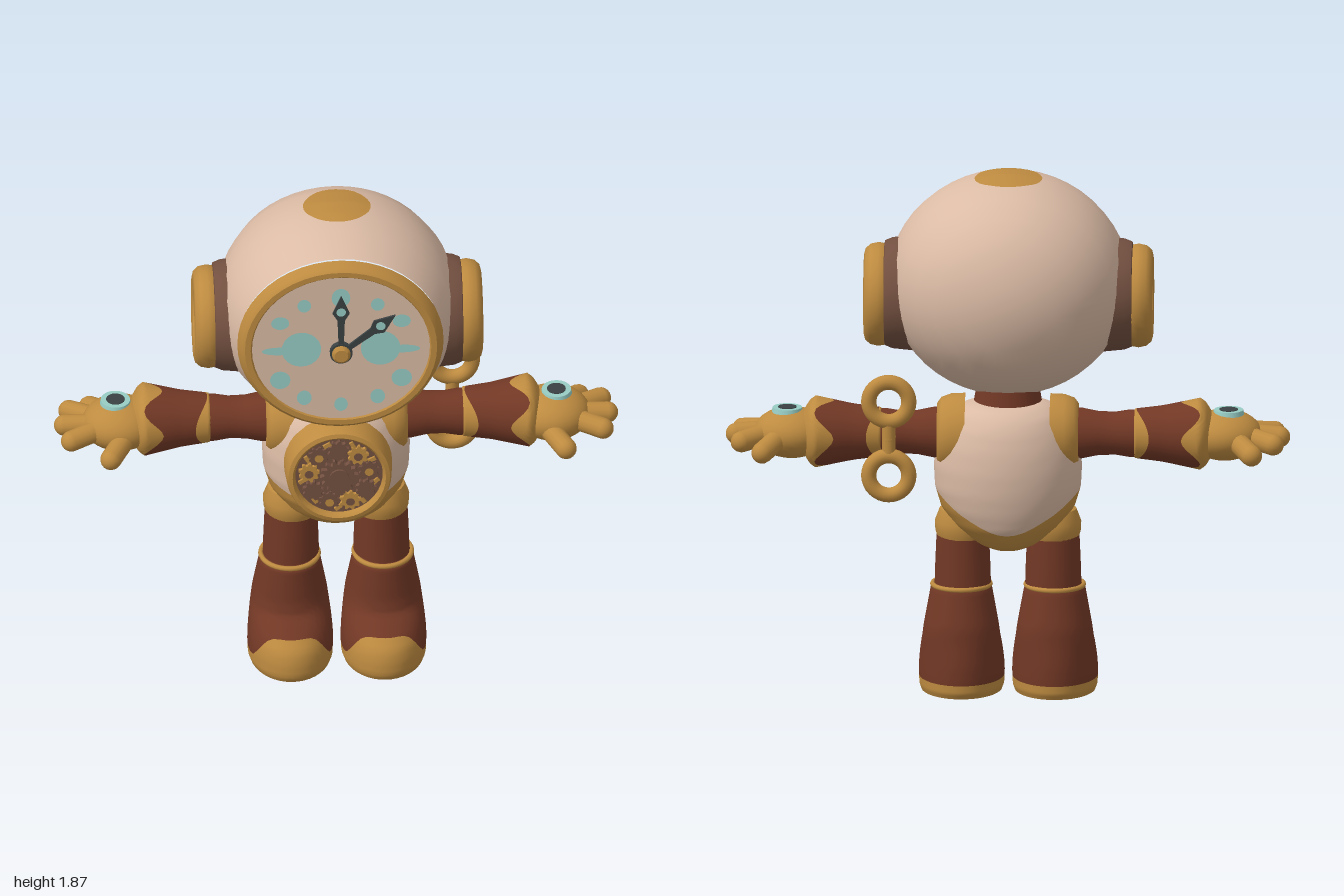
import * as THREE from 'three';
import { toCreasedNormals } from 'three/addons/utils/BufferGeometryUtils.js';

const paint = (name, color) => { const m = new THREE.MeshStandardMaterial({ color }); m.name = name; return m; };
const cream = paint('cream', 0xdbbba5), gold = paint('gold', 0xbe8b40), leather = paint('leather', 0x723825),
  brown = paint('brown', 0x735040), dark = paint('dark', 0x3a4142), cyan = paint('cyan', 0x97ccc4);

function add(parent, name, geo, mat, x = 0, y = 0, z = 0) {
  const m = new THREE.Mesh(geo, mat);
  m.name = name;
  m.position.set(x, y, z);
  parent.add(m);
  return m;
}

// Turned part from [radius, height] pairs; axis may be y, x or z
function turned(pairs, axis = 'y', seg = 40) {
  const g = new THREE.LatheGeometry(pairs.map(p => new THREE.Vector2(p[0], p[1])), seg);
  if (axis === 'x') g.rotateZ(-Math.PI / 2);
  if (axis === 'z') g.rotateX(Math.PI / 2);
  return toCreasedNormals(g, 0.65);
}

// Closed-in-u grid surface from a rule
function grid(nu, nv, rule) {
  const pos = [], idx = [];
  for (let j = 0; j <= nv; j++) for (let i = 0; i < nu; i++) pos.push(...rule(i / nu * Math.PI * 2, j / nv));
  for (let j = 0; j < nv; j++) for (let i = 0; i < nu; i++) {
    const a = j * nu + i, b = j * nu + (i + 1) % nu;
    idx.push(a, a + nu, b, b, a + nu, b + nu);
  }
  const g = new THREE.BufferGeometry();
  g.setAttribute('position', new THREE.Float32BufferAttribute(pos, 3));
  g.setIndex(idx);
  g.computeVertexNormals();
  return g;
}

// Interpolate rows of [h, ...values]
function sample(rows, h) {
  let k = 0;
  while (k < rows.length - 2 && h > rows[k + 1][0]) k++;
  const a = rows[k], b = rows[k + 1], t = THREE.MathUtils.clamp((h - a[0]) / (b[0] - a[0]), 0, 1);
  return a.map((v, i) => v + (b[i] - v) * t);
}

// Shell through rows [h, rx, rz, cz] between two wavy edges, so one form can change colour
const shell = (rows, from, to, nv = 16) => grid(40, nv, (u, v) => {
  const e = 0.5 * v + 0.25 * (1 - Math.cos(v * Math.PI));
  const [h, rx, rz, cz] = sample(rows, from(u) + (to(u) - from(u)) * e);
  return [rx * Math.cos(u), h, cz + rz * Math.sin(u)];
});

function capsule(parent, name, a, b, r, mat) {
  const A = new THREE.Vector3(...a), B = new THREE.Vector3(...b), d = B.clone().sub(A);
  const m = add(parent, name, new THREE.CapsuleGeometry(r, d.length(), 6, 14), mat);
  m.position.copy(A).add(B).multiplyScalar(0.5);
  m.quaternion.setFromUnitVectors(new THREE.Vector3(0, 1, 0), d.normalize());
  return m;
}

// Mirror a group across x with the faces turned the right way
function mirrored(src, name) {
  const out = new THREE.Group();
  out.name = name;
  src.updateMatrixWorld(true);
  src.traverse(o => {
    if (!o.isMesh) return;
    const g = o.geometry.index ? o.geometry.toNonIndexed() : o.geometry.clone();
    g.applyMatrix4(o.matrixWorld);
    for (const key of ['position', 'normal']) {
      const t = g.attributes[key];
      for (let i = 0; i < t.count; i += 3) {
        const p = [0, 2, 1].map(k => [-t.getX(i + k), t.getY(i + k), t.getZ(i + k)]);
        p.forEach((q, k) => t.setXYZ(i + k, ...q));
      }
    }
    add(out, o.name, g, o.material);
  });
  return out;
}

function gear(r, teeth, depth) {
  const s = new THREE.Shape();
  for (let i = 0; i < teeth * 4; i++) {
    const a = i / (teeth * 4) * Math.PI * 2, q = i % 4 < 2 ? r : r * 0.78;
    s[i ? 'lineTo' : 'moveTo'](q * Math.cos(a), q * Math.sin(a));
  }
  return new THREE.ExtrudeGeometry(s, { depth, bevelEnabled: false });
}

function makeHead() {
  const g = new THREE.Group(), Y = 1.465, SX = 1.08;
  g.name = 'head';
  const skull = [[0, -.375], [.08, -.368], [.16, -.345], [.24, -.3], [.3, -.24], [.35, -.165], [.38, -.08],
    [.395, .02], [.395, .1], [.38, .19], [.355, .26], [.335, .305]];
  add(g, 'skull', turned(skull, 'z', 48), cream, 0, Y).scale.x = SX;
  add(g, 'faceRim', turned([[.33, .3], [.338, .306], [.326, .342], [.315, .352], [.296, .352], [.29, .344]], 'z', 48), gold, 0, Y - .008).scale.x = SX;
  add(g, 'clockFace', new THREE.CircleGeometry(.298, 48), cream, 0, Y - .008, .346).scale.x = SX;
  const byZ = skull.map(p => [p[1], p[0]]);
  add(g, 'crownCap', grid(32, 6, (u, v) => {
    const x = .12 * v * Math.cos(-u), z = .025 + .12 * v * Math.sin(-u), r = sample(byZ, z)[1];
    return [x, Y + .005 + Math.sqrt(r * r - (x / SX) ** 2), z];
  }), gold);

  // Dial markings: [x, y from centre, rx, ry]
  const spots = [[0, .215, .033, .038], [0, -.225, .024, .028], [.13, .185, .024, .026], [.13, -.195, .026, .03],
    [.215, .115, .032, .026], [.215, -.12, .036, .036], [.14, .005, .07, .07], [.22, 0, .06, .016]];
  for (const [x, y, rx, ry] of spots) for (const s of x ? [1, -1] : [1])
    add(g, 'dialMark', new THREE.CircleGeometry(1, 24), cyan, s * x, 1.45 + y, x === .22 ? .3482 : .3478).scale.set(rx, ry, 1);

  // Clock hands
  for (const [len, angle] of [[.235, 0], [.245, -.9]]) {
    const hand = new THREE.Group();
    hand.name = 'clockHand';
    const s = new THREE.Shape();
    [[-.008, 0], [.008, 0], [.013, len * .58], [.03, len * .7], [0, len], [-.03, len * .7], [-.013, len * .58]]
      .forEach((p, i) => s[i ? 'lineTo' : 'moveTo'](...p));
    add(hand, 'pointer', new THREE.ExtrudeGeometry(s, { depth: .009, bevelEnabled: false }), dark);
    add(hand, 'pointerJewel', new THREE.CircleGeometry(.017, 16), cyan, 0, len * .73, .0105);
    hand.position.set(0, 1.445, .356);
    hand.rotation.z = angle;
    g.add(hand);
  }
  add(g, 'hubBase', turned([[.04, .344], [.04, .367], [0, .367]], 'z', 20), dark, 0, 1.445);
  add(g, 'hub', turned([[.033, .36], [.033, .376], [.024, .384], [0, .384]], 'z', 20), gold, 0, 1.445);
  return g;
}

function makeTorso() {
  const g = new THREE.Group();
  g.name = 'torso';
  const rows = [[.522, 0, 0, -.07], [.53, .06, .06, -.068], [.55, .105, .11, -.06], [.58, .15, .15, -.05], [.62, .195, .187, -.045],
    [.68, .237, .212, -.04], [.75, .258, .224, -.04], [.83, .262, .227, -.04], [.91, .252, .218, -.04], [.98, .228, .195, -.042],
    [1.03, .195, .16, -.045], [1.06, .13, .11, -.05], [1.07, .0, .0, -.05]];
  const edge = u => { const s = Math.sin(u); return s > 0 ? .745 - .06 * s * s : .745 - .14 * s * s; };
  add(g, 'lowerBody', shell(rows, () => .522, edge), gold);
  add(g, 'upperBody', shell(rows, edge, () => 1.07, 20), cream);
  add(g, 'neck', new THREE.CylinderGeometry(.11, .125, .09, 32), leather, 0, 1.075, -.04);

  // Round window with clockwork
  const works = new THREE.Group();
  works.name = 'clockwork';
  works.position.y = .84;
  add(works, 'windowRim', turned([[.195, .06], [.186, .2], [.18, .218], [.165, .222], [.156, .212], [.154, .19]], 'z', 40), gold);
  add(works, 'backPlate', new THREE.CircleGeometry(.16, 36), brown, 0, 0, .196);
  add(works, 'mainGear', gear(.068, 14, .022), brown, 0, 0, .196);
  add(works, 'mainHub', turned([[.035, .19], [.035, .227], [0, .227]], 'z', 16), brown);
  for (let i = 0; i < 9; i++) {
    const a = i / 9 * Math.PI * 2 + .2, x = Math.cos(a), y = Math.sin(a);
    add(works, 'smallGear', gear(.038, 9, .01 + .004 * (i % 3)), i % 3 === 1 ? gold : brown, x * .108, y * .108, .197);
    add(works, 'gearPin', new THREE.CircleGeometry(.016, 10), i % 3 ? brown : gold, x * .108, y * .108, .22);
    add(works, 'brassChip', new THREE.BoxGeometry(.028, .014, .009), gold, Math.cos(a + .3) * .132, Math.sin(a + .3) * .132, .202).rotation.z = a * 2.3;
  }
  g.add(works);
  return g;
}

function makeSide() {
  const g = new THREE.Group();
  g.name = 'leftSide';
  // Ear
  add(g, 'earBase', turned([[.205, .33], [.197, .41], [.186, .437], [.15, .445]], 'x'), brown, 0, 1.425, .05);
  add(g, 'earCushion', turned([[.165, .42], [.18, .437], [.184, .46], [.178, .488], [.162, .506], [.143, .511], [.126, .505], [.12, .49]], 'x'), gold, 0, 1.42, .05);
  add(g, 'earLens', turned([[.125, .492], [0, .492]], 'x'), dark, 0, 1.42, .05);
  add(g, 'earRing', new THREE.RingGeometry(.043, .067, 32).rotateY(Math.PI / 2), cyan, .496, 1.42, .05);

  // Arm
  const arm = new THREE.Group();
  arm.name = 'arm';
  arm.position.set(0, .942, -.045);
  add(arm, 'shoulderRing', turned([[.14, .15], [.138, .2], [.125, .235], [.105, .25], [.08, .25]], 'x'), gold);
  add(arm, 'upperArm', turned([[.088, .2], [.09, .26], [.078, .32], [.076, .38], [.084, .43], [.084, .47]], 'x', 28), leather);
  const cuff = [[.44, .07, .07, 0], [.45, .088, .088, 0], [.55, .1, .105, 0], [.68, .127, .14, 0], [.7, .112, .125, 0], [.72, .08, .09, 0]];
  const elbow = u => .455 + .045 * Math.sin(u) ** 2, wrist = u => .648 - .034 * Math.cos(4 * u);
  const piece = (name, a, b, mat) => add(arm, name, shell(cuff, a, b, 12).rotateZ(-Math.PI / 2), mat);
  piece('elbowBand', () => .44, elbow, gold);
  piece('forearm', elbow, wrist, leather);
  piece('gloveCuff', wrist, () => .72, gold);
  g.add(arm);

  // Hand
  add(g, 'palm', new THREE.SphereGeometry(1, 28, 18), gold, .765, .937, -.035).scale.set(.135, .09, .13);
  const fingers = [[.80, -.10, .865, -.205, .9], [.85, -.07, .94, -.14, .925], [.86, -.025, .96, -.035, .93], [.85, .02, .94, .065, .925]];
  for (const [x, z, x2, z2, y2] of fingers) capsule(g, 'finger', [x, .937, z], [x2, y2, z2], .038, gold);
  capsule(g, 'thumb', [.75, .92, .05], [.805, .9, .155], .038, gold);
  add(g, 'handRing', new THREE.CylinderGeometry(.052, .056, .02, 28), cyan, .78, 1.019, -.04).scale.z = 1.1;
  add(g, 'handLens', new THREE.CylinderGeometry(.033, .033, .008, 24), dark, .78, 1.027, -.04).scale.z = 1.1;

  // Leg
  const leg = new THREE.Group();
  leg.name = 'leg';
  leg.position.x = .165;
  add(leg, 'hipCap', turned([[.094, .565], [.1, .585], [.102, .62], [.085, .665], [0, .69]], 'y', 32), gold, -.008, 0, -.03);
  add(leg, 'thigh', turned([[.1, .37], [.098, .45], [.092, .59]], 'y', 32), leather, -.005, 0, -.03);
  const boot = [[0, .143, .195, .028], [.02, .15, .206, .028], [.07, .152, .206, .026], [.11, .15, .2, .02], [.15, .146, .182, .005],
    [.18, .142, .162, -.012], [.205, .138, .144, -.028], [.25, .132, .138, -.032], [.38, .108, .12, -.02], [.395, .095, .105, -.025]];
  const toe = u => .05 + .1 * THREE.MathUtils.smoothstep(Math.sin(u), .35, .95);
  add(leg, 'toeCapAndSole', shell(boot, () => 0, toe, 10), gold);
  add(leg, 'boot', shell(boot, toe, () => .395, 22), leather);
  add(leg, 'soleBottom', new THREE.CircleGeometry(1, 40).rotateX(Math.PI / 2), gold, 0, 0, .028).scale.set(.143, 1, .195);
  add(leg, 'bootTrim', new THREE.TorusGeometry(.102, .009, 8, 36).rotateX(Math.PI / 2), gold, 0, .388, -.022).scale.z = 1.1;
  g.add(leg);
  return g;
}

function makeKey() {
  const g = new THREE.Group();
  g.name = 'windUpKey';
  g.position.set(.418, .945, -.17);
  for (const y of [.135, -.132]) add(g, 'keyLoop', new THREE.TorusGeometry(.071, .027, 14, 32), gold, 0, y);
  capsule(g, 'keyBridge', [0, -.05, 0], [0, .05, 0], .024, gold);
  capsule(g, 'keyShaft', [0, 0, 0], [0, 0, .08], .024, gold);
  return g;
}

export function createModel() {
  const model = new THREE.Group();
  model.name = 'clockworkRobot';
  const left = makeSide();
  model.add(makeHead(), makeTorso(), mirrored(left, 'rightSide'), left, makeKey());
  return model;
}
